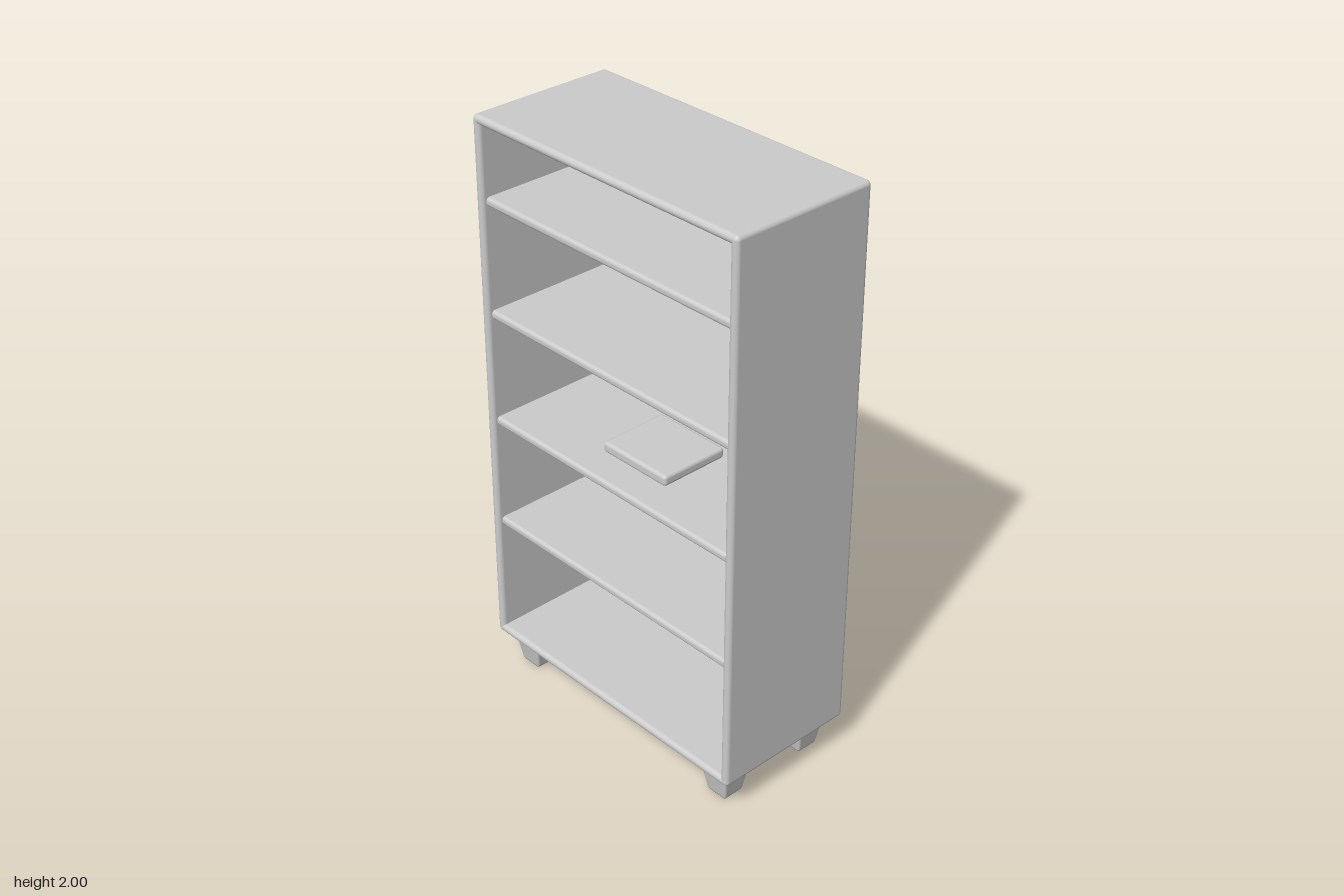
import * as THREE from 'three';
import { RoundedBoxGeometry } from 'three/addons/geometries/RoundedBoxGeometry.js';

const material = new THREE.MeshStandardMaterial({ color: 0xcccccc });

// Rounded board given by its extents on each axis
function board(name, [x0, x1], [y0, y1], [z0, z1], radius) {
  const geometry = new RoundedBoxGeometry(x1 - x0, y1 - y0, z1 - z0, 4, radius);
  const mesh = new THREE.Mesh(geometry, material);
  mesh.name = name;
  mesh.position.set((x0 + x1) / 2, (y0 + y1) / 2, (z0 + z1) / 2);
  return mesh;
}

// Square foot narrowing towards the floor
function footGeometry(height, topWidth, bottomWidth) {
  const geometry = new RoundedBoxGeometry(topWidth, height, topWidth, 4, 0.014);
  geometry.translate(0, height / 2, 0);
  const pos = geometry.attributes.position;
  const normal = geometry.attributes.normal;
  const slope = (topWidth - bottomWidth) / 2 / height;
  const n = new THREE.Vector3();
  for (let i = 0; i < pos.count; i++) {
    const k = THREE.MathUtils.lerp(bottomWidth / topWidth, 1, pos.getY(i) / height);
    pos.setXYZ(i, pos.getX(i) * k, pos.getY(i), pos.getZ(i) * k);
    n.fromBufferAttribute(normal, i);
    n.y -= slope * Math.hypot(n.x, n.z);
    n.normalize();
    normal.setXYZ(i, n.x, n.y, n.z);
  }
  return geometry;
}

export function createModel() {
  const model = new THREE.Group();
  model.name = 'bookcase';

  const X = 0.26, Z = 0.553, bottom = 0.12, top = 2, t = 0.03, r = 0.015;

  // Carcass, open towards -x
  const carcass = new THREE.Group();
  carcass.name = 'carcass';
  carcass.add(
    board('topPanel', [-X, X], [top - t, top], [-Z, Z], r),
    board('bottomPanel', [-X, X], [bottom, bottom + t], [-Z, Z], r),
    board('frontEndPanel', [-X, X], [bottom, top], [Z - t, Z], r),
    board('backEndPanel', [-X, X], [bottom, top], [-Z, t - Z], r),
    board('closedSidePanel', [X - t, X], [bottom, top], [-Z, Z], r),
  );
  model.add(carcass);

  // Shelves, slightly set back from the opening
  for (let i = 0; i < 4; i++) {
    const y = 0.555 + i * 0.383;
    model.add(board('shelf', [-0.243, X - 0.015], [y, y + t], [0.015 - Z, Z - 0.015], 0.012));
  }

  // Flat box resting on the second shelf up
  model.add(board('flatBox', [-0.13, 0.12], [0.966, 1.004], [-0.145, 0.137], 0.012));

  // Feet
  const foot = footGeometry(0.135, 0.125, 0.078);
  for (const x of [-0.166, 0.166]) {
    for (const z of [-0.453, 0.453]) {
      const mesh = new THREE.Mesh(foot, material);
      mesh.name = 'foot';
      mesh.position.set(x, 0, z);
      model.add(mesh);
    }
  }

  return model;
}
